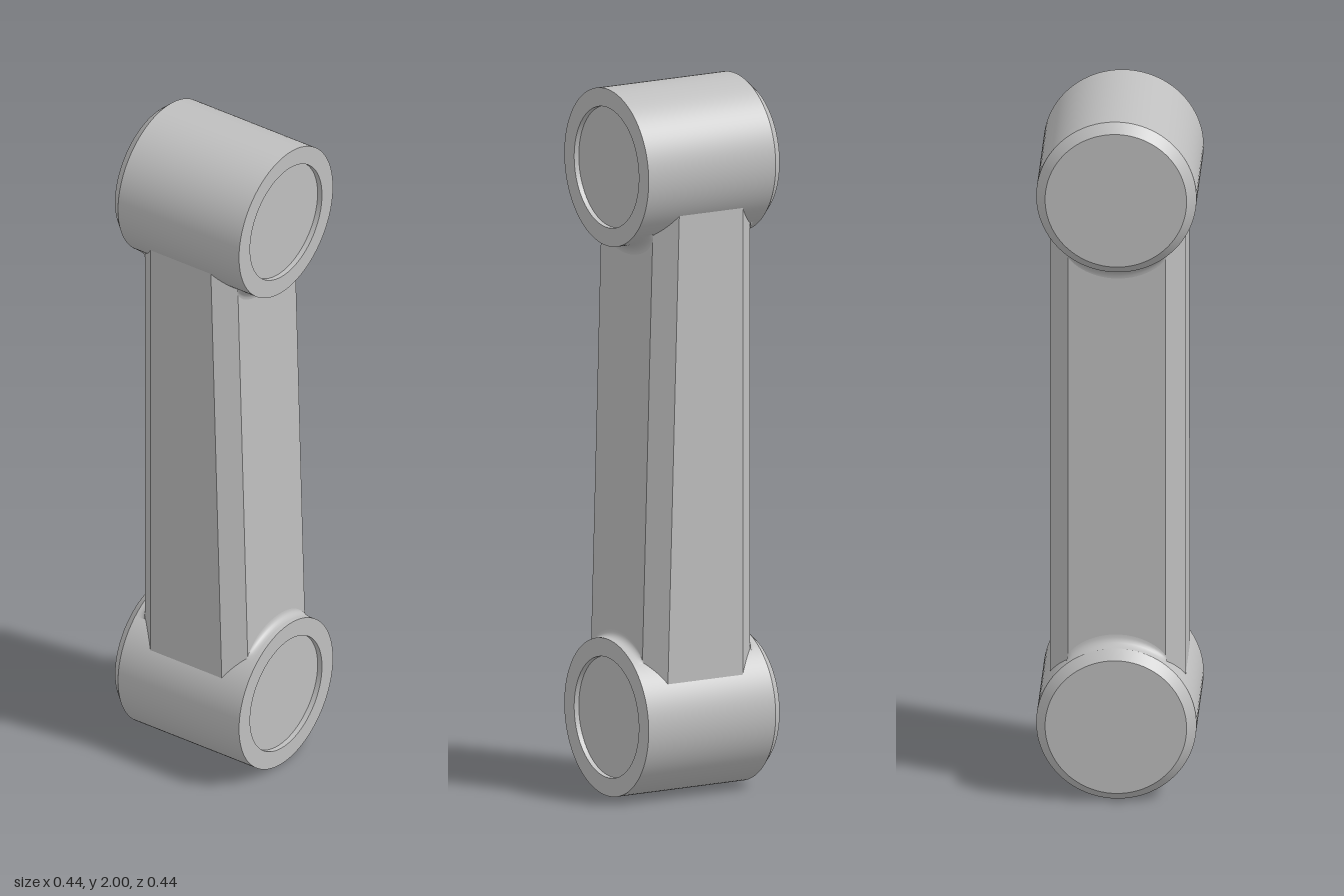
import * as THREE from 'three';
import { toCreasedNormals } from 'three/addons/utils/BufferGeometryUtils.js';

const R = 0.222;            // end boss radius
const SLOPE = 0.028;        // lean of the arm's front face
const frontZ = (y) => 0.17 - (y - 1) * SLOPE;
const v2 = (p) => new THREE.Vector2(p[0], p[1]);

export function createModel() {
  const group = new THREE.Group();
  const grey = new THREE.MeshStandardMaterial({ color: 0xbfbfbf, side: THREE.DoubleSide });
  grey.name = 'plain grey';

  const add = (geometry, name, y = 0) => {
    const mesh = new THREE.Mesh(geometry, grey);
    mesh.name = name;
    mesh.position.y = y;
    group.add(mesh);
  };

  // Boss: chamfered at the back, shallow round recess at the front
  const boss = () => {
    const profile = [
      [0, -0.222], [0.196, -0.222], [R, -0.193], [R, 0.22],
      [0.17, 0.22], [0.17, 0.205], [0, 0.205],
    ].map(v2);
    const g = new THREE.LatheGeometry(profile, 96);
    g.rotateX(Math.PI / 2);
    return toCreasedNormals(g, 0.5);
  };

  // Crescent fillet between a boss and an arm face, fading out at its ends
  const fillet = (faceZ, sign, size, up) => {
    const profile = [];
    for (let i = 0; i <= 6; i++) {
      const a = (i / 6) * Math.PI / 2;
      profile.push(v2([R + size * (1 - Math.sin(a)), faceZ + sign * size * (1 - Math.cos(a))]));
    }
    const half = 0.68;
    const mid = up ? Math.PI : 0;
    const g = new THREE.LatheGeometry(profile, 24, mid - half, 2 * half);
    const p = g.attributes.position;
    for (let i = 0; i < p.count; i++) {
      const r = Math.hypot(p.getX(i), p.getZ(i));
      const angle = Math.atan2(p.getX(i), p.getZ(i) * (up ? -1 : 1));
      const fade = Math.sqrt(Math.max(0, 1 - (angle / half) ** 2));
      const k = (R + (r - R) * fade) / r;
      p.setX(i, p.getX(i) * k);
      p.setZ(i, p.getZ(i) * k);
    }
    // Profiles toward the front run the other way round, so flip the faces there
    if (sign < 0) {
      const index = g.index.array;
      for (let i = 0; i < index.length; i += 3) {
        [index[i], index[i + 1]] = [index[i + 1], index[i]];
      }
    }
    g.rotateX(Math.PI / 2);
    g.computeVertexNormals();
    return g;
  };

  // Bosses and their fillets
  for (const [name, y, up] of [['lower', R, true], ['upper', 2 - R, false]]) {
    add(boss(), name + 'Boss', y);
    add(fillet(frontZ(y + (up ? R : -R)), 1, up ? 0.02 : 0.035, up), name + 'FrontFillet', y);
    add(fillet(-0.163, -1, 0.03, up), name + 'BackFillet', y);
  }

  // Arm: chamfered bar whose front half leans back towards the top
  const outline = [
    [-0.135, -0.17], [0.135, -0.17], [0.188, -0.118], [0.188, 0.107],
    [0.135, 0.163], [-0.135, 0.163], [-0.188, 0.107], [-0.188, -0.118],
  ].map(v2);
  const arm = new THREE.ExtrudeGeometry(new THREE.Shape(outline), { depth: 1.5, bevelEnabled: false });
  arm.rotateX(-Math.PI / 2);
  arm.translate(0, 0.25, 0);
  const p = arm.attributes.position;
  for (let i = 0; i < p.count; i++) {
    if (p.getZ(i) > 0) p.setZ(i, p.getZ(i) - (p.getY(i) - 1) * SLOPE);
  }
  arm.computeVertexNormals();
  add(arm, 'arm');

  return group;
}
